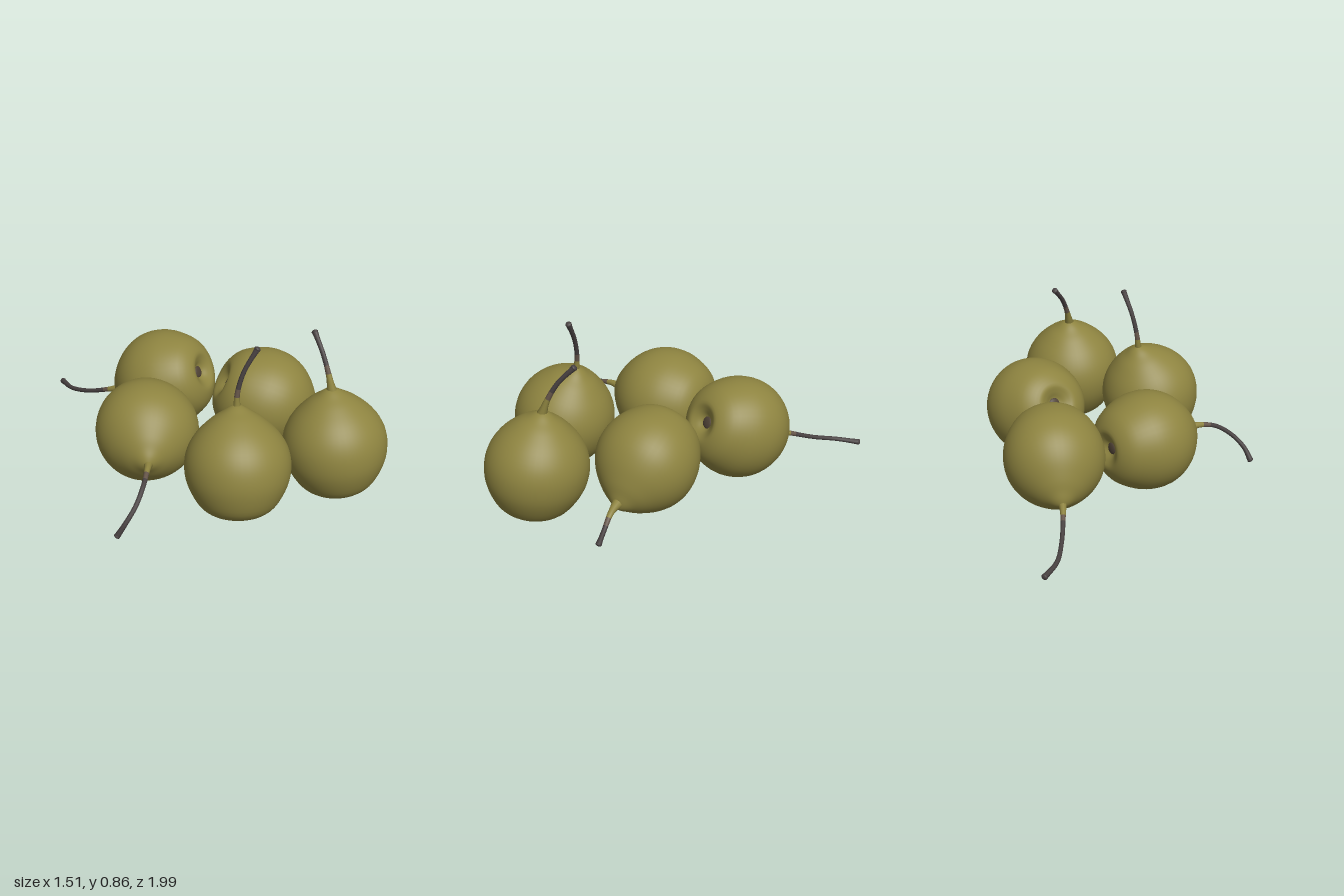
import * as THREE from 'three';
import { mergeVertices } from 'three/addons/utils/BufferGeometryUtils.js';

const material = (name, color) => {
  const m = new THREE.MeshStandardMaterial({ color });
  m.name = name;
  return m;
};

// Each pear: body centre, axis towards the neck, and a stem path in model space
const PEARS = [
  { name: 'frontRightPear', centre: [-0.13, 0.26, 0.57], axis: [0.05, 0.26, -0.065],
    path: [[-0.1, 0.46, 0.525], [-0.083, 0.53, 0.507], [-0.075, 0.61, 0.5], [-0.045, 0.72, 0.51], [0.012, 0.838, 0.54]] },
  { name: 'frontLeftPear', centre: [0.37, 0.26, 0.738], axis: [0, 0.28, -0.04],
    path: [[0.37, 0.5, 0.715], [0.37, 0.56, 0.695], [0.372, 0.62, 0.672], [0.38, 0.71, 0.62], [0.397, 0.797, 0.54]] },
  { name: 'leftPear', centre: [0.405, 0.265, 0.2], axis: [0.215, -0.135, 0.175],
    path: [[0.58, 0.17, 0.34], [0.635, 0.15, 0.387], [0.67, 0.13, 0.412], [0.705, 0.085, 0.438], [0.738, 0.018, 0.472]] },
  { name: 'backPear', centre: [0.13, 0.263, -0.305], axis: [-0.125, -0.12, -0.25],
    path: [[0.04, 0.175, -0.49], [0.008, 0.145, -0.545], [-0.015, 0.115, -0.61], [-0.05, 0.062, -0.74], [-0.068, 0.03, -0.87], [-0.045, 0.016, -0.985]] },
  { name: 'rightPear', centre: [-0.26, 0.255, 0.035], axis: [-0.185, -0.015, 0.23],
    path: [[-0.4, 0.24, 0.215], [-0.445, 0.238, 0.268], [-0.48, 0.235, 0.302], [-0.55, 0.21, 0.36], [-0.63, 0.15, 0.4], [-0.7, 0.08, 0.405], [-0.74, 0.018, 0.39]] },
];

// Round body with a dimpled bottom and a short shoulder
function bodyGeometry() {
  const profile = new THREE.SplineCurve([
    [0, -0.215], [0.03, -0.219], [0.065, -0.242], [0.11, -0.253], [0.185, -0.205], [0.243, -0.1],
    [0.259, 0], [0.242, 0.088], [0.195, 0.166], [0.125, 0.232], [0.07, 0.268], [0.035, 0.29], [0, 0.305],
  ].map(([r, y]) => new THREE.Vector2(r, y)));
  const points = profile.getPoints(48);
  points.forEach((p) => { p.x = Math.max(0, p.x); });
  points[0].x = points[points.length - 1].x = 0;

  let geo = new THREE.LatheGeometry(points, 48);
  geo.deleteAttribute('uv');
  geo.deleteAttribute('normal');
  const pos = geo.attributes.position;
  // Slightly uneven girth
  for (let i = 0; i < pos.count; i++) {
    const x = pos.getX(i), y = pos.getY(i), z = pos.getZ(i);
    const a = Math.atan2(z, x);
    const k = 1 + 0.01 * Math.sin(2 * a + 5 * y) + 0.006 * Math.sin(3 * a - 4 * y);
    pos.setXYZ(i, x * k, y, z * k);
  }
  geo = mergeVertices(geo, 1e-5);
  geo.computeVertexNormals();
  return geo;
}

// Tapering tube: green neck, brown collar, then woody stem
function stemGeometry(curve) {
  const rings = 48, sides = 10;
  const length = curve.getLength();
  const geo = new THREE.TubeGeometry(curve, rings, 1, sides, false);
  const pos = geo.attributes.position;
  const v = new THREE.Vector3();
  for (let j = 0; j <= rings; j++) {
    const u = j / rings, d = u * length;
    const c = curve.getPointAt(u);
    const r = 0.0115 + 0.045 * Math.exp(-d / 0.045) + 0.004 * Math.pow(u, 10);
    for (let i = 0; i <= sides; i++) {
      const n = j * (sides + 1) + i;
      v.fromBufferAttribute(pos, n).sub(c).multiplyScalar(r).add(c);
      pos.setXYZ(n, v.x, v.y, v.z);
    }
  }
  const neckEnd = Math.round(rings * 0.135 / length);
  const collarEnd = Math.round(rings * 0.175 / length);
  const per = sides * 6;
  geo.addGroup(0, neckEnd * per, 0);
  geo.addGroup(neckEnd * per, (collarEnd - neckEnd) * per, 1);
  geo.addGroup(collarEnd * per, (rings - collarEnd) * per, 2);
  return geo;
}

export function createModel() {
  const skin = material('pearSkin', 0x8e8440);
  const collar = material('stemCollar', 0x66564a);
  const wood = material('stemWood', 0x474040);
  const calyxBrown = material('calyxBrown', 0x4f4236);

  const body = bodyGeometry();
  const up = new THREE.Vector3(0, 1, 0);
  const model = new THREE.Group();
  model.name = 'pears';

  PEARS.forEach(({ name, centre, axis, path }) => {
    const pear = new THREE.Group();
    pear.name = name;
    const add = (parent, part, geo, mat) => {
      const mesh = new THREE.Mesh(geo, mat);
      mesh.name = part;
      parent.add(mesh);
      return mesh;
    };

    const fruit = new THREE.Group();
    fruit.name = 'fruit';
    fruit.position.set(...centre);
    fruit.quaternion.setFromUnitVectors(up, new THREE.Vector3(...axis).normalize());
    add(fruit, 'body', body, skin);

    // Dried blossom end in the dimple
    const calyx = add(fruit, 'calyx', new THREE.SphereGeometry(0.032, 14, 8), calyxBrown);
    calyx.scale.y = 0.3;
    calyx.position.y = -0.218;
    pear.add(fruit);

    // Neck and stem with a blunt tip
    const curve = new THREE.CatmullRomCurve3(path.map((p) => new THREE.Vector3(...p)));
    add(pear, 'stem', stemGeometry(curve), [skin, collar, wood]);
    const tip = add(pear, 'stemTip', new THREE.SphereGeometry(0.0165, 10, 8), wood);
    tip.scale.y = 0.6;
    tip.quaternion.setFromUnitVectors(up, curve.getTangentAt(1));
    tip.position.copy(curve.getPointAt(1));

    model.add(pear);
  });
  return model;
}
